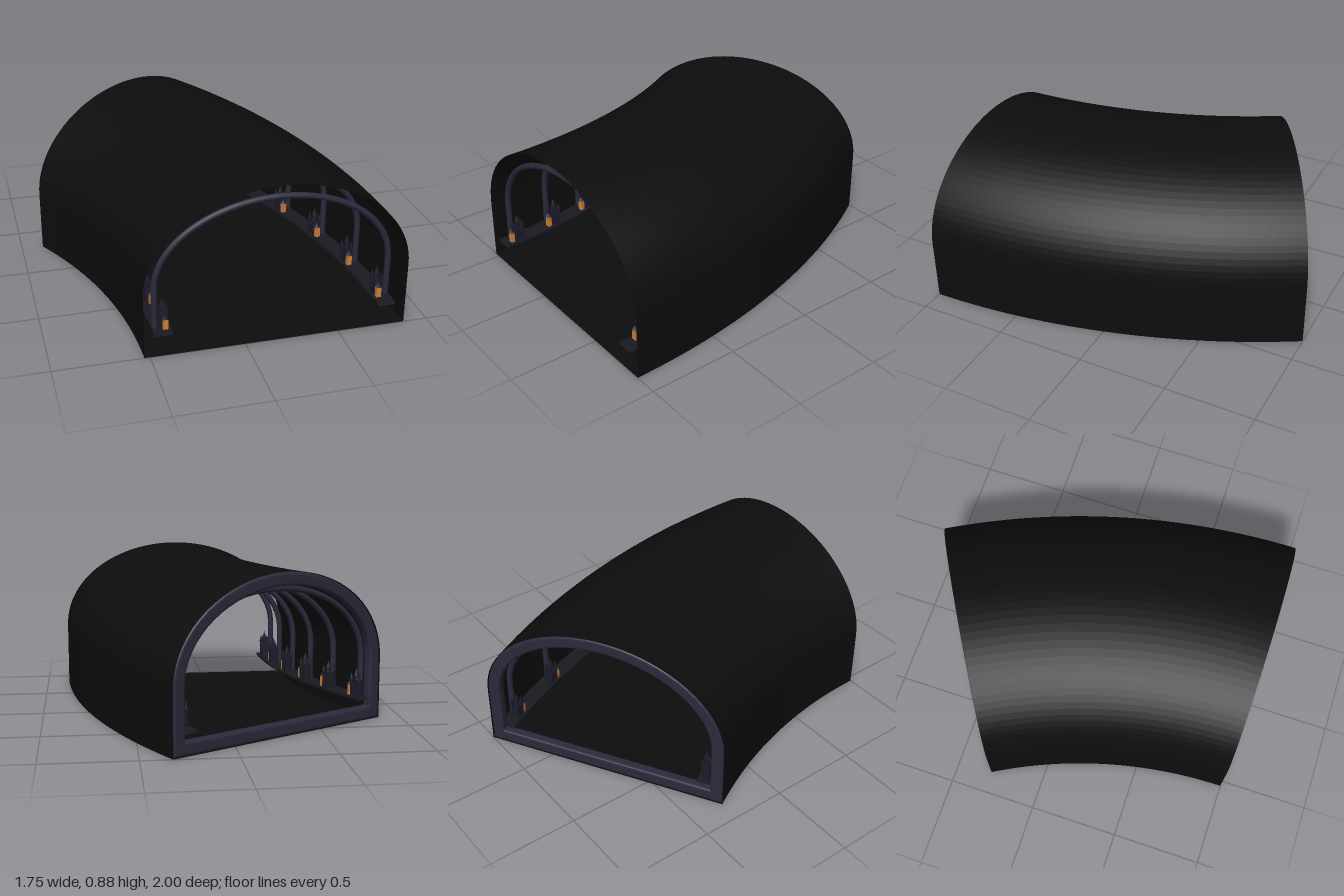
import * as THREE from 'three';
import { ParametricGeometry } from 'three/addons/geometries/ParametricGeometry.js';

// The tunnel bends through 30 degrees about a vertical axis at (CX, 1).
const CX = -3.13, R = 3.3, BEND = Math.PI / 6;
const HALF = 0.7, SPRING = 0.35, TOP = 0.875;

const mat = (name, color, side = THREE.FrontSide) => {
  const m = new THREE.MeshStandardMaterial({ color, side });
  m.name = name;
  return m;
};

// Arch profile: vertical legs up to the spring line, then half an ellipse
function archPoints(half, top, bottom, n = 32) {
  const pts = [[half, bottom], [half, (bottom + SPRING) / 2]];
  for (let i = 0; i <= n; i++) {
    const a = Math.PI * i / n;
    pts.push([half * Math.cos(a), SPRING + (top - SPRING) * Math.sin(a)]);
  }
  pts.push([-half, (bottom + SPRING) / 2], [-half, bottom]);
  return pts.map(([x, y]) => new THREE.Vector2(x, y));
}

// Sweep a profile of (offset, height) points around the bend
function sweep(points) {
  const last = points.length - 1;
  return new ParametricGeometry((u, v, out) => {
    const p = points[Math.round(u * last)], a = v * BEND;
    out.set(CX + (R + p.x) * Math.cos(a), p.y, 1 - (R + p.x) * Math.sin(a));
  }, last, 40);
}

export function createModel() {
  const shellBlack = mat('shell black', 0x0d0d0d, THREE.DoubleSide);
  const stone = mat('blue grey stone', 0x2a2a3c);
  const darkStone = mat('dark stone', 0x1c1c2a);
  const ledgeMat = mat('ledge stone', 0x1a1a22, THREE.DoubleSide);
  const glow = mat('amber glow', 0xd08038);

  const model = new THREE.Group();
  model.name = 'curvedTunnel';
  const add = (parent, name, geo, material, x = 0, y = 0, z = 0) => {
    const m = new THREE.Mesh(geo, material);
    m.name = name;
    m.position.set(x, y, z);
    parent.add(m);
    return m;
  };
  // A cross-section frame: local x points outward, local -z runs along the tunnel
  const station = (name, angle) => {
    const turn = new THREE.Group(), g = new THREE.Group();
    turn.name = name + 'Station';
    turn.position.set(CX, 0, 1);
    turn.rotation.y = angle;
    g.name = name;
    g.position.x = R;
    turn.add(g);
    model.add(turn);
    return g;
  };

  // Vault, floor and the two ledges
  add(model, 'vault', sweep(archPoints(HALF, TOP, 0, 48)), shellBlack);
  add(model, 'floor', sweep([new THREE.Vector2(-HALF, 0), new THREE.Vector2(HALF, 0)]), shellBlack);
  for (const s of [-1, 1]) {
    const corners = [[0.55, 0.115], [0.645, 0.115], [0.645, 0.128], [0.55, 0.128]];
    corners.forEach((c, i) => {
      const d = corners[(i + 1) % 4];
      add(model, s > 0 ? 'leftLedge' : 'rightLedge',
        sweep([new THREE.Vector2(s * c[0], c[1]), new THREE.Vector2(s * d[0], d[1])]), ledgeMat);
    });
  }

  // Portal frame around the back end
  const ring = new THREE.Shape(archPoints(HALF - 0.003, TOP - 0.003, 0.003));
  ring.holes.push(new THREE.Path(archPoints(HALF - 0.074, TOP - 0.074, 0.075)));
  const bevel = 0.014;
  const frameGeo = new THREE.ExtrudeGeometry(ring, {
    depth: 0.03, bevelEnabled: true, bevelThickness: bevel, bevelSize: bevel,
    bevelOffset: -bevel, bevelSegments: 3,
  });
  add(station('backPortal', BEND), 'portalFrame', frameGeo, stone, 0, 0, bevel - 0.002);

  // Shared shapes for the ribs and shrines
  const ribPath = new THREE.CatmullRomCurve3(
    archPoints(0.63, 0.778, 0.125, 24).map(p => new THREE.Vector3(p.x, p.y, 0)));
  const ribGeo = new THREE.TubeGeometry(ribPath, 64, 0.017, 8);
  const bodyGeo = new THREE.BoxGeometry(0.04, 0.07, 0.05);
  const lampGeo = new THREE.BoxGeometry(0.026, 0.058, 0.022);
  const capGeo = new THREE.ConeGeometry(0.02, 0.025, 4).rotateY(Math.PI / 4);

  // A slender pinnacle: square shaft, collar and pointed top
  function pinnacle(parent, x, z, height, w) {
    const shaft = height * 0.68, tip = height - shaft;
    add(parent, 'pinnacleShaft', new THREE.BoxGeometry(w, shaft, w), darkStone, x, 0.128 + shaft / 2, z);
    add(parent, 'pinnacleCollar', new THREE.BoxGeometry(w * 1.35, 0.008, w * 1.35), darkStone, x, 0.128 + shaft, z);
    add(parent, 'pinnacleTip', new THREE.ConeGeometry(w * 0.9, tip, 4).rotateY(Math.PI / 4),
      darkStone, x, 0.128 + shaft + tip / 2, z);
  }

  // Six ribs, each with a lamp-lit shrine on both sides
  for (let i = 0; i < 6; i++) {
    const bay = station('bay', THREE.MathUtils.degToRad(1.5 + 5.35 * i));
    add(bay, 'rib', ribGeo, stone);
    for (const s of [-1, 1]) {
      const shrine = new THREE.Group();
      shrine.name = s > 0 ? 'leftShrine' : 'rightShrine';
      shrine.position.x = s * 0.585;
      bay.add(shrine);
      add(shrine, 'shrineBody', bodyGeo, darkStone, 0, 0.163, -0.02);
      pinnacle(shrine, 0, -0.02, 0.162, 0.018);
      for (const dx of [-0.017, 0.017])
        for (const dz of [-0.042, 0.002]) pinnacle(shrine, dx, dz, 0.135, 0.012);
      add(shrine, 'lamp', lampGeo, glow, -s * 0.006, 0.157, 0.024);
      add(shrine, 'lampCap', capGeo, darkStone, -s * 0.006, 0.198, 0.024);
    }
  }
  return model;
}
